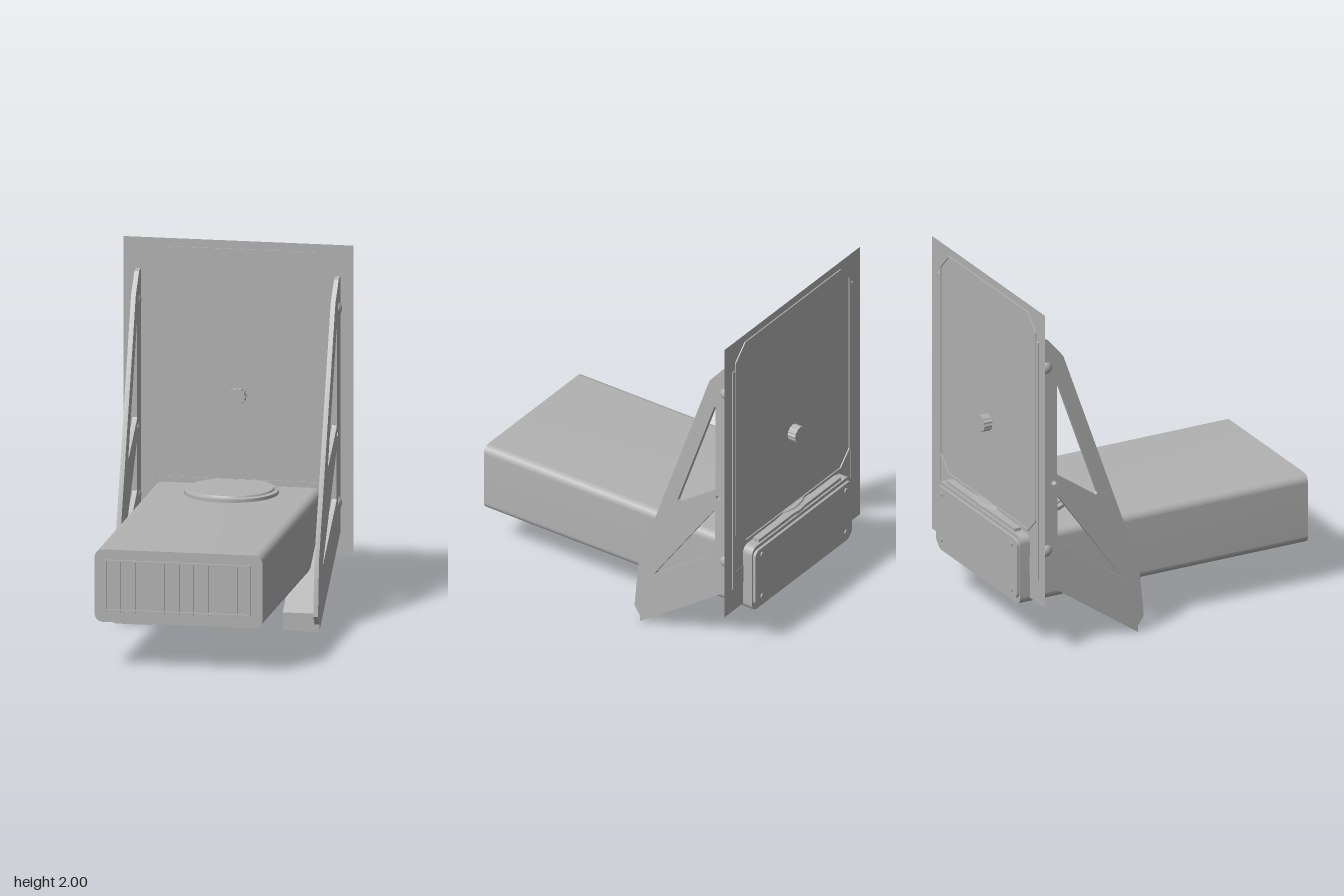
import * as THREE from 'three';
import { toCreasedNormals } from 'three/addons/utils/BufferGeometryUtils.js';

const grey = new THREE.MeshStandardMaterial({ color: 0xb2b2b2 });
grey.name = 'grey metal';
const sheetGrey = grey.clone();
sheetGrey.name = 'grey sheet';
sheetGrey.side = THREE.DoubleSide;

const points = (list) => list.map(([a, b]) => new THREE.Vector2(a, b));

function add(parent, name, geometry, x = 0, y = 0, z = 0, material = grey) {
  const mesh = new THREE.Mesh(geometry, material);
  mesh.name = name;
  mesh.position.set(x, y, z);
  parent.add(mesh);
  return mesh;
}

function extrude(shape, depth) {
  return toCreasedNormals(
    new THREE.ExtrudeGeometry(shape, { depth, bevelEnabled: false, curveSegments: 10 }), 0.6);
}

// Rounded rectangle centred on the origin
function roundedRect(w, h, r) {
  const s = new THREE.Shape();
  const x = w / 2 - r, y = h / 2 - r;
  s.absarc(x, y, r, 0, Math.PI / 2);
  s.absarc(-x, y, r, Math.PI / 2, Math.PI);
  s.absarc(-x, -y, r, Math.PI, Math.PI * 1.5);
  s.absarc(x, -y, r, Math.PI * 1.5, Math.PI * 2);
  s.closePath();
  return s;
}

// Octagon with cut corners, inset by d
function octagon(d) {
  const x = 0.535 - d, top = 1.955 - d, low = 0.675 + d, c = 0.09 - d * 0.6;
  return points([
    [x, low + c], [x, top - c], [x - c, top], [-x + c, top],
    [-x, top - c], [-x, low + c], [-x + c, low], [x - c, low],
  ]);
}

// Side plate profile in (z, y), spanning xMin to xMax
function sidePart(parent, name, shape, xMin, xMax) {
  const mesh = add(parent, name, extrude(shape, xMax - xMin), xMax, 0, 0);
  mesh.rotation.y = -Math.PI / 2;
}

export function createModel() {
  const model = new THREE.Group();
  model.name = 'bracketMountedUnit';

  // Mounting panel with a raised eight-sided seal on both faces
  add(model, 'backPanel', new THREE.PlaneGeometry(1.26, 1.71), 0, 1.145, -0.83, sheetGrey);
  const seal = new THREE.Shape(octagon(0));
  seal.holes.push(new THREE.Path(octagon(0.012)));
  add(model, 'panelSeal', extrude(seal, 0.014), 0, 0, -0.837);

  // Ribbed knob through the panel
  const knobOutline = [];
  for (let i = 0; i < 48; i++) {
    const a = (i / 48) * Math.PI * 2;
    const r = i % 4 < 2 ? 0.046 : 0.042;
    knobOutline.push([r * Math.cos(a), r * Math.sin(a)]);
  }
  add(model, 'knob', extrude(new THREE.Shape(points(knobOutline)), 0.09), 0, 1.147, -0.88);

  // Long housing
  add(model, 'housing', extrude(roundedRect(0.92, 0.4, 0.045), 1.77), 0, 0.455, -0.89);

  // Rear cover with corner screws
  add(model, 'rearCover', extrude(roundedRect(0.9, 0.345, 0.035), 0.017), 0, 0.462, -0.905);
  for (const x of [-0.39, 0.39]) {
    for (const y of [0.33, 0.595]) {
      const screw = add(model, 'coverScrew', new THREE.CylinderGeometry(0.014, 0.014, 0.01, 16), x, y, -0.907);
      screw.rotation.x = Math.PI / 2;
    }
  }
  add(model, 'rearTopStrip', new THREE.BoxGeometry(0.76, 0.02, 0.04), 0, 0.664, -0.86);

  // Round cap on top of the housing
  const cap = new THREE.LatheGeometry(points([
    [0, 0], [0.255, 0], [0.255, 0.018], [0.232, 0.022], [0.228, 0.031], [0, 0.031],
  ]), 64);
  add(model, 'topCap', toCreasedNormals(cap, 0.5), 0, 0.655, -0.63);

  // Front grille: open frame and vertical bars
  const frame = roundedRect(0.8, 0.28, 0.006);
  frame.holes.push(roundedRect(0.784, 0.264, 0.004));
  add(model, 'grilleFrame', extrude(frame, 0.012), 0, 0.463, 0.898);
  for (let i = 0; i < 10; i++) {
    add(model, 'grilleBar', new THREE.BoxGeometry(0.01, 0.29, 0.016), -0.4 + i * 0.08, 0.455, 0.882);
  }

  // Side bracket profile with two triangular windows and a pin hole
  const plate = new THREE.Shape(points([
    [-0.22, 0], [-0.22, 0.04], [-0.185, 0.09], [-0.215, 0.4], [-0.68, 1.71],
    [-0.775, 1.822], [-0.82, 1.83], [-0.835, 1.815], [-0.835, 0.43],
  ]));
  plate.holes.push(
    new THREE.Path(points([[-0.72, 1.56], [-0.72, 1.03], [-0.708, 1.015], [-0.48, 0.857], [-0.468, 0.867], [-0.712, 1.555]])),
    new THREE.Path(points([[-0.715, 0.89], [-0.715, 0.625], [-0.7, 0.608], [-0.32, 0.34], [-0.323, 0.352], [-0.705, 0.885]])),
  );
  const pinHole = new THREE.Path();
  pinHole.absarc(-0.737, 0.98, 0.015, 0, Math.PI * 2);
  plate.holes.push(pinHole);
  const foot = new THREE.Shape(points([[-0.22, 0], [-0.22, 0.1], [-0.834, 0.535], [-0.834, 0.43]]));

  for (const side of [-1, 1]) {
    const bracket = new THREE.Group();
    bracket.name = side > 0 ? 'leftBracket' : 'rightBracket';
    model.add(bracket);
    const span = (a, b) => (side > 0 ? [a, b] : [-b, -a]);
    sidePart(bracket, 'bracketPlate', plate, ...span(0.534, 0.56));
    sidePart(bracket, 'slopedFoot', foot, ...span(0.36, 0.559));
    // Domed bolts
    for (const y of [0.59, 1.66]) {
      const bolt = add(bracket, 'bolt', new THREE.SphereGeometry(0.036, 24, 14), side * 0.55, y, -0.782);
      bolt.scale.x = 0.72;
    }
  }
  return model;
}
